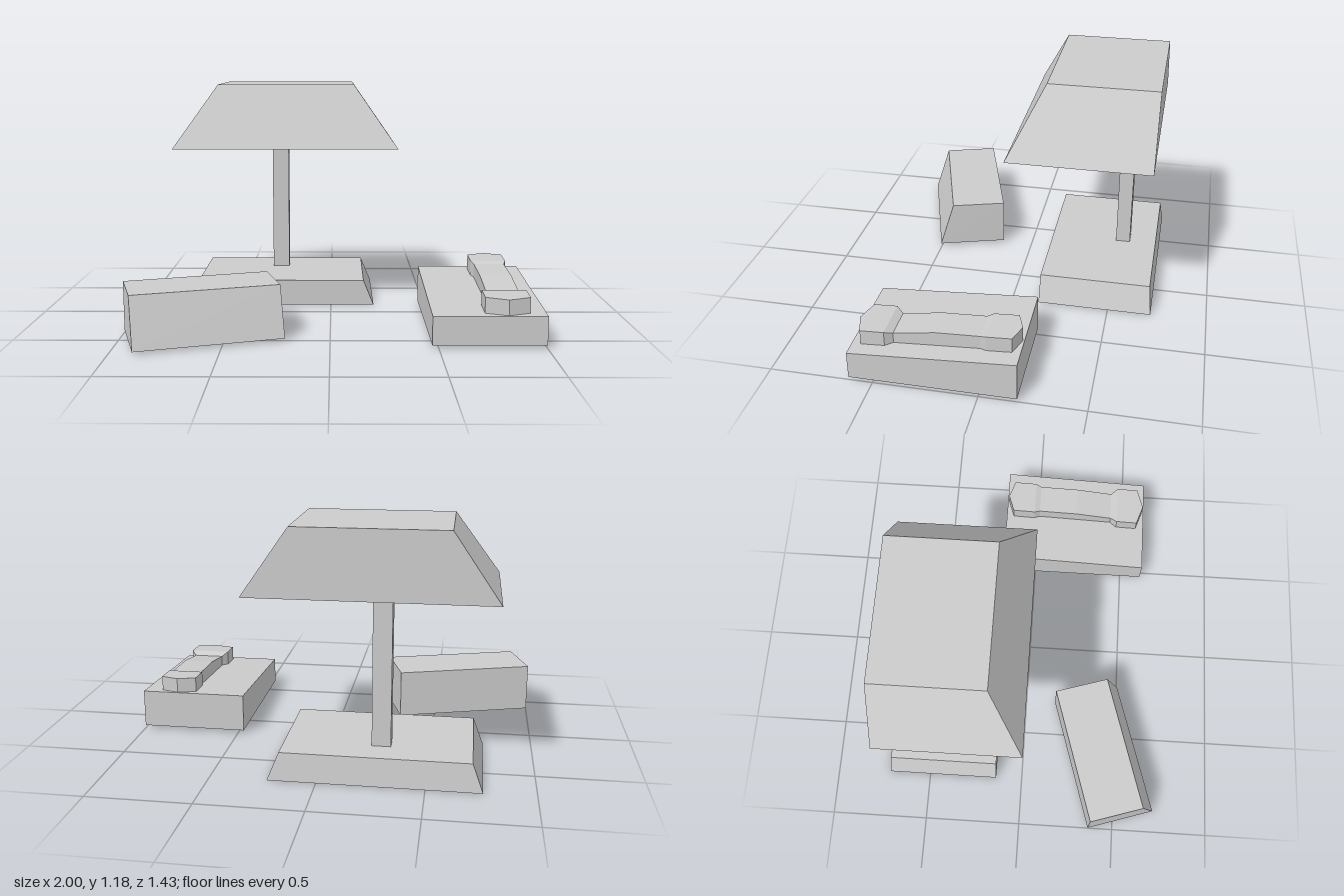
import * as THREE from 'three';

const material = new THREE.MeshStandardMaterial({ color: 0xcccccc, flatShading: true, side: THREE.DoubleSide });

// Skins a list of four-cornered rings; each ring runs counter-clockwise seen from the last ring.
function loft(name, rings, capStart = true) {
  const pos = [];
  const quad = (a, b, c, d) => pos.push(...a, ...b, ...c, ...a, ...c, ...d);
  for (let r = 0; r < rings.length - 1; r++) {
    const a = rings[r], b = rings[r + 1];
    for (let i = 0; i < 4; i++) {
      const j = (i + 1) % 4;
      quad(a[i], a[j], b[j], b[i]);
    }
  }
  if (capStart) quad(...[...rings[0]].reverse());
  quad(...rings[rings.length - 1]);
  const geometry = new THREE.BufferGeometry();
  geometry.setAttribute('position', new THREE.Float32BufferAttribute(pos, 3));
  geometry.computeVertexNormals();
  const mesh = new THREE.Mesh(geometry, material);
  mesh.name = name;
  return mesh;
}

// Horizontal rectangle; the front and back edges may differ in height.
const rect = (x0, x1, zBack, zFront, yFront, yBack = yFront) => [
  [x0, yFront, zFront], [x1, yFront, zFront], [x1, yBack, zBack], [x0, yBack, zBack],
];

export function createModel() {
  const model = new THREE.Group();

  // Desk lamp: tapered foot, square post, shade with an upright back
  const lamp = new THREE.Group();
  lamp.name = 'lamp';
  lamp.add(
    loft('lampFoot', [rect(-0.76, 0.23, -0.72, -0.14, 0), rect(-0.71, 0.175, -0.705, -0.14, 0.135)]),
    loft('lampPost', [rect(-0.33, -0.24, -0.565, -0.49, 0.13), rect(-0.33, -0.24, -0.565, -0.49, 0.865)]),
    loft('lampShade', [rect(-0.81, 0.345, -0.69, 0.015, 0.857), rect(-0.59, 0.12, -0.69, -0.15, 1.18)]),
  );

  // Turned desk block with a sloping front and an open underside
  const block = loft('deskBlock', [
    [[-0.89, 0.012, 0.715], [-0.213, 0.012, 0.505], [-0.32, 0.012, 0.16], [-1, 0.012, 0.37]],
    [[-0.915, 0.255, 0.64], [-0.237, 0.255, 0.432], [-0.32, 0.255, 0.16], [-1, 0.255, 0.37]],
  ], false);

  // Telephone: sloping hollow body with a handset lying on it
  const phone = new THREE.Group();
  phone.name = 'telephone';
  const yFront = 0.152, yBack = 0.205, zFront = 0.615, zBack = -0.18;
  const deckY = z => yFront + (yBack - yFront) * (zFront - z) / (zFront - zBack);
  phone.add(loft('phoneBody', [
    rect(0.47, 1, zBack, zFront, 0.015),
    rect(0.47, 1, zBack, zFront, yFront, yBack),
  ], false));

  // Handset stations from back to front: z, half width, top height
  const stations = [
    [-0.172, 0, 0.279], [-0.14, 0.09, 0.277], [-0.02, 0.09, 0.27], [0.01, 0.078, 0.26],
    [0.22, 0.078, 0.25], [0.42, 0.078, 0.218], [0.455, 0.105, 0.236], [0.57, 0.105, 0.23], [0.605, 0, 0.227],
  ];
  phone.add(loft('handset', stations.map(([z, w, top]) => {
    const low = deckY(z) - 0.004, x = 0.82;
    return [[x - w, low, z], [x + w, low, z], [x + w, top, z], [x - w, top, z]];
  })));

  model.add(lamp, block, phone);
  return model;
}
